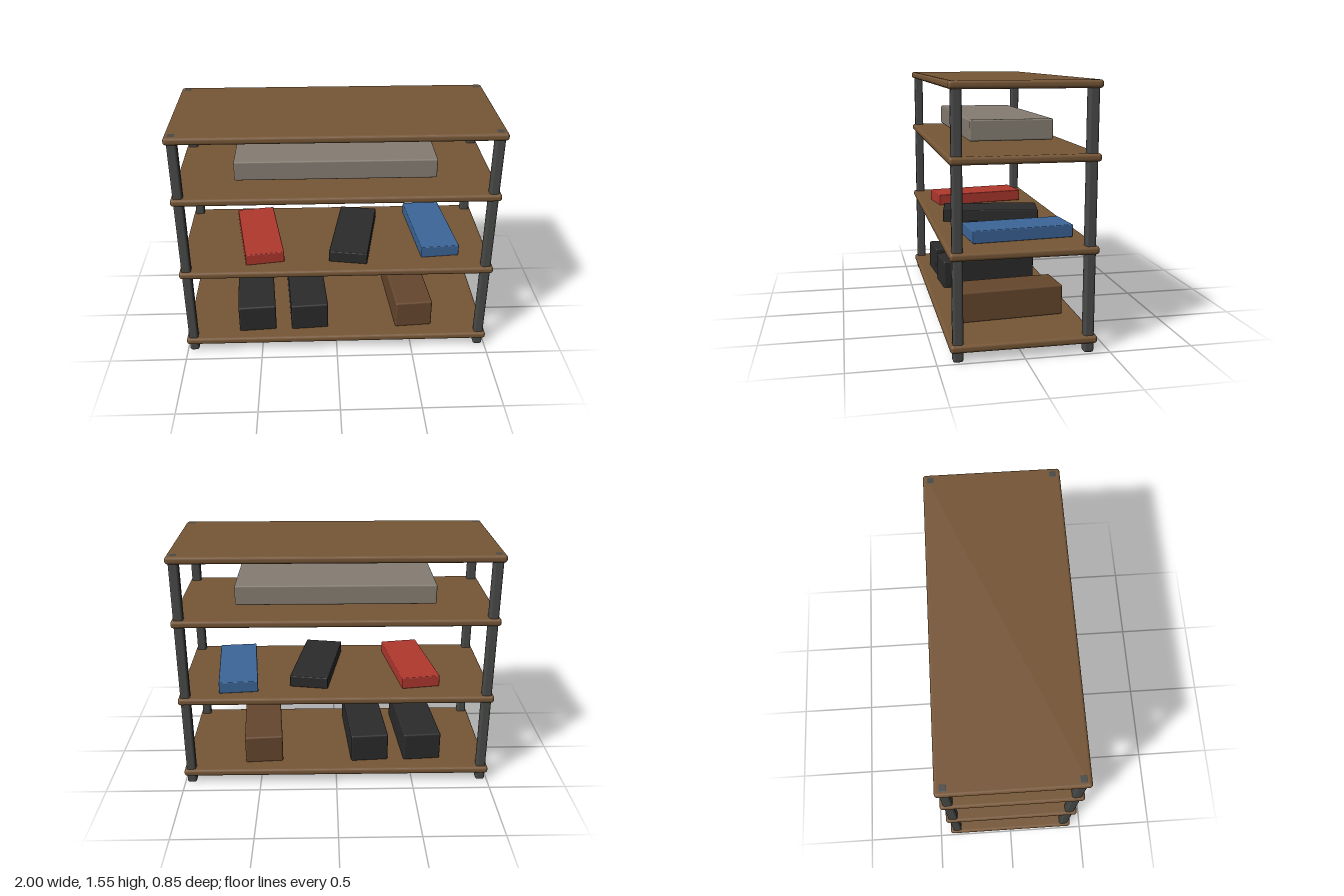
import * as THREE from 'three';
import { RoundedBoxGeometry } from 'three/addons/geometries/RoundedBoxGeometry.js';

const mat = (color) => new THREE.MeshStandardMaterial({ color });
const wood = mat(0x765636);
const metal = mat(0x484a48);
const black = mat(0x2b2b2b);
const brown = mat(0x66472d);
const red = mat(0xb0382e);
const blue = mat(0x3c6699);
const greyBin = mat(0x857d72);

// Rounded block whose underside rests at height y
function block(name, [w, h, d], [x, y, z], radius, material, turn = 0) {
  const mesh = new THREE.Mesh(new RoundedBoxGeometry(w, h, d, 3, radius), material);
  mesh.name = name;
  mesh.position.set(x, y + h / 2, z);
  mesh.rotation.y = turn;
  return mesh;
}

export function createModel() {
  const model = new THREE.Group();
  model.name = 'shelfUnit';

  // Four boards, placed by the height of their top face
  const thick = 0.046;
  [0.104, 0.628, 1.152, 1.552].forEach((top, i) => {
    model.add(block(`shelf${i + 1}`, [2, thick, 0.85], [0, top - thick, 0], 0.018, wood));
  });

  // Corner posts, showing just through the top board
  for (const sx of [-1, 1]) {
    for (const sz of [-1, 1]) {
      model.add(block('post', [0.06, 1.553, 0.06], [sx * 0.955, 0, sz * 0.378], 0.015, metal));
    }
  }

  // Large bin, held just clear of the upper shelf
  model.add(block('upperBin', [1.25, 0.125, 0.5], [0, 1.19, 0], 0.01, greyBin));

  // Flat cases on the middle shelf: name, x, z, turn, material
  const cases = [
    ['redCase', -0.503, 0.02, 0.15, red],
    ['blackCase', 0.125, 0.03, -0.17, black],
    ['blueCase', 0.65, -0.03, 0.09, blue],
  ];
  for (const [name, x, z, turn, material] of cases) {
    model.add(block(name, [0.248, 0.075, 0.61], [x, 0.627, z], 0.006, material, turn));
  }

  // Boxes on the bottom shelf
  const boxes = [
    ['leftBlackBox', -0.55, 0.015, black],
    ['middleBlackBox', -0.2, 0.005, black],
    ['brownBox', 0.5, 0, brown],
  ];
  for (const [name, x, z, material] of boxes) {
    model.add(block(name, [0.247, 0.19, 0.645], [x, 0.1, z], 0.012, material, 0.07));
  }

  return model;
}
